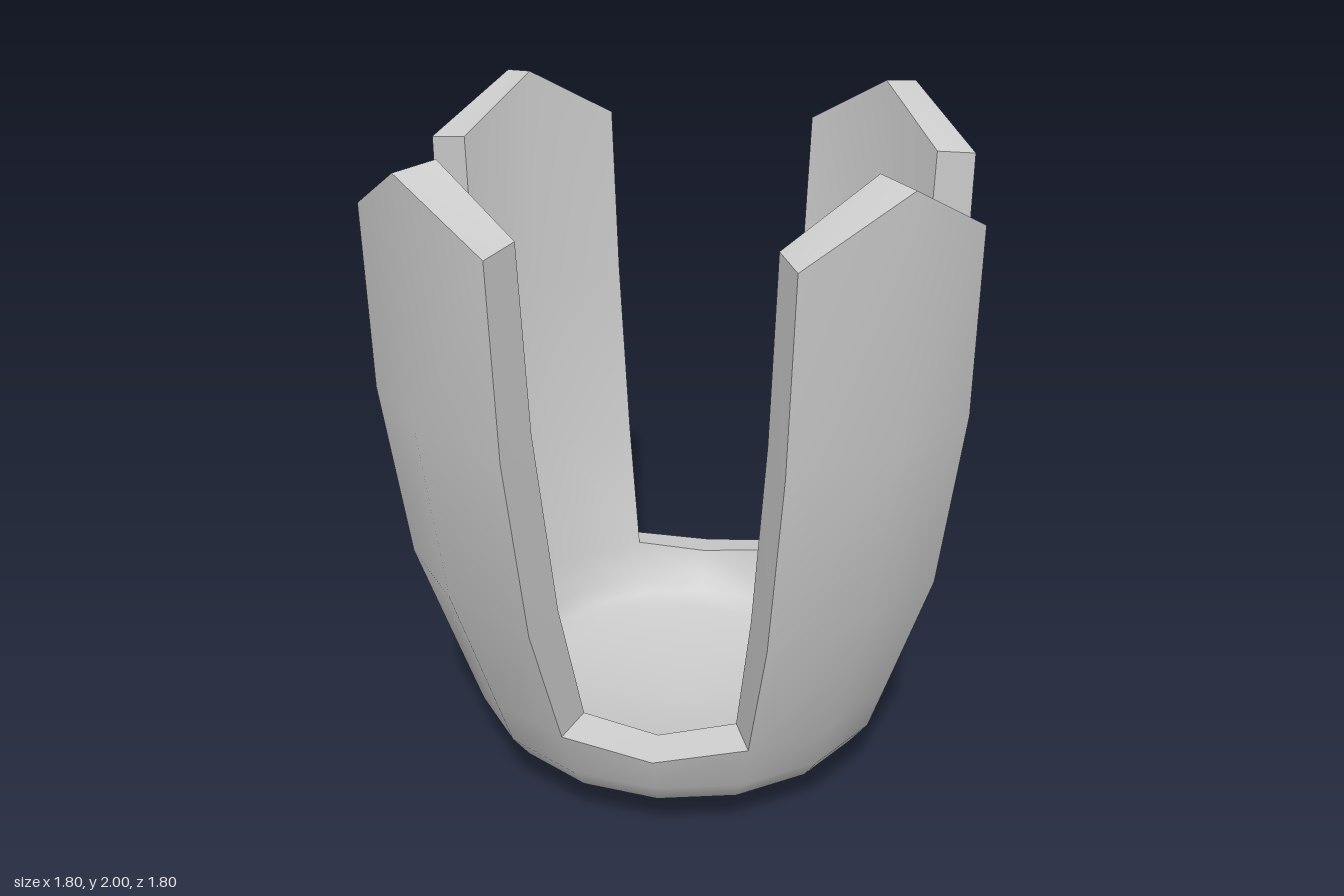
import * as THREE from 'three';
import { toCreasedNormals } from 'three/addons/utils/BufferGeometryUtils.js';

const SIDES = 16;
const RIM = 4; // ring where the bowl ends and the four petals begin
const TOP = 7;

// Profiles as [radius, height], from the centre of the base up to the petal shoulders
const OUTER = [[0, 0], [0.48, 0.09], [0.585, 0.15], [0.64, 0.225], [0.69, 0.375], [0.82, 0.77], [0.89, 1.3], [0.9, 1.83]];
const INNER = [[0, 0.13], [0.43, 0.205], [0.495, 0.235], [0.535, 0.28], [0.574, 0.39], [0.68, 0.78], [0.755, 1.33], [0.775, 1.845]];
// Angle from a petal's middle to its edge, in degrees
const EDGE = [22.5, 22.5, 22.5, 22.5, 22.5, 22.2, 21.4, 20.6];

function shellPoint(profile, ring, k) {
  let [r, y] = profile[ring];
  const quarter = Math.round(k / 4);
  const offset = k - quarter * 4;
  let angle = quarter * 90 + offset * 22.5;
  if (Math.abs(offset) === 1) angle = quarter * 90 + offset * EDGE[ring];
  if (ring === RIM && Math.abs(offset) === 2) { // rim dips between petals
    y -= 0.035;
    r -= 0.01;
  }
  if (ring === TOP && offset === 0) y += 0.155; // pointed petal tip
  const a = THREE.MathUtils.degToRad(angle);
  return [r * Math.sin(a), y, r * Math.cos(a)];
}

function makeGeometry(positions, index) {
  const geometry = new THREE.BufferGeometry();
  geometry.setAttribute('position', new THREE.Float32BufferAttribute(positions, 3));
  geometry.setIndex(index);
  geometry.computeVertexNormals();
  return geometry;
}

// Smooth skin of the bowl and petals, facing out or in
function shell(profile, inward) {
  const positions = [];
  const index = [];
  for (let ring = 0; ring <= TOP; ring++) {
    for (let k = 0; k < SIDES; k++) positions.push(...shellPoint(profile, ring, k));
  }
  const id = (ring, k) => (ring === 0 ? 0 : ring * SIDES + (k % SIDES));
  const tri = (a, b, c) => index.push(...(inward ? [a, c, b] : [a, b, c]));
  for (let ring = 0; ring < TOP; ring++) {
    for (let k = 0; k < SIDES; k++) {
      const inPetal = k % 4 === 0 || k % 4 === 3;
      if (ring >= RIM && !inPetal) continue;
      const a = id(ring, k), b = id(ring, k + 1), c = id(ring + 1, k + 1), d = id(ring + 1, k);
      if (ring > 0) tri(a, b, c);
      tri(a, c, d);
    }
  }
  return makeGeometry(positions, index);
}

// Band joining both skins along the petal outlines and the rim
function edgeBand() {
  const outline = [];
  for (let q = 0; q < 4; q++) {
    const m = q * 4;
    for (let ring = RIM; ring <= TOP; ring++) outline.push([ring, m - 1]);
    outline.push([TOP, m]);
    for (let ring = TOP; ring >= RIM; ring--) outline.push([ring, m + 1]);
    outline.push([RIM, m + 2]);
  }
  const positions = [];
  const index = [];
  const n = outline.length;
  outline.forEach(([ring, k], i) => {
    positions.push(...shellPoint(OUTER, ring, k), ...shellPoint(INNER, ring, k));
    const o = i * 2, next = ((i + 1) % n) * 2;
    index.push(o, next, next + 1, o, next + 1, o + 1);
  });
  return toCreasedNormals(makeGeometry(positions, index), 0.5);
}

export function createModel() {
  const group = new THREE.Group();
  group.name = 'petalCup';
  const material = new THREE.MeshStandardMaterial({ color: 0xcccccc });
  const add = (name, geometry) => {
    const mesh = new THREE.Mesh(geometry, material);
    mesh.name = name;
    group.add(mesh);
  };
  add('outerBowlAndPetals', shell(OUTER, false));
  add('innerBowlAndPetals', shell(INNER, true));
  add('rimAndPetalEdges', edgeBand());
  return group;
}
